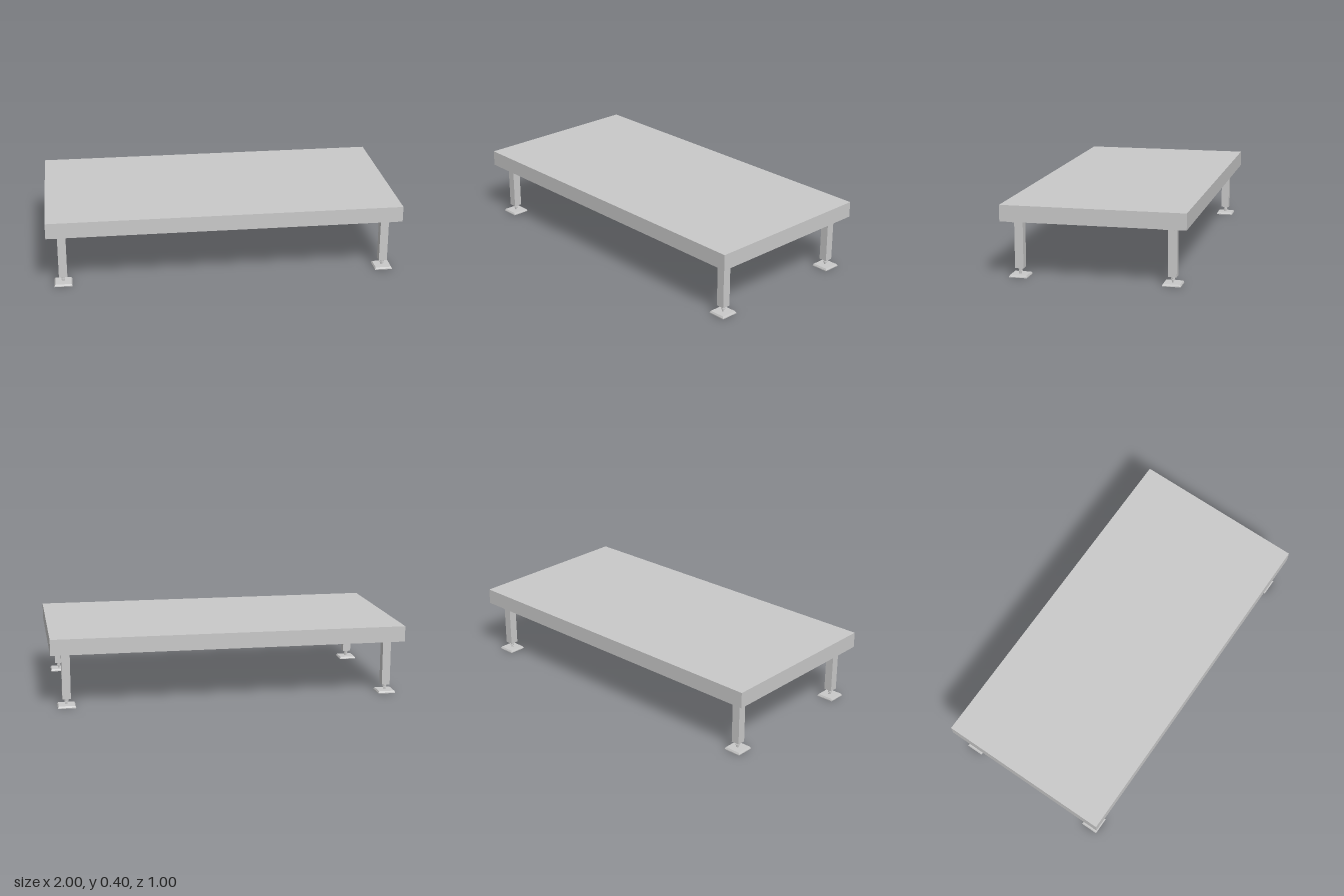
import * as THREE from 'three';

const metal = new THREE.MeshStandardMaterial({ color: 0xc9c9c9 });
metal.name = 'grey metal';

function add(parent, name, geometry, x = 0, y = 0, z = 0) {
  const mesh = new THREE.Mesh(geometry, metal);
  mesh.name = name;
  mesh.position.set(x, y, z);
  parent.add(mesh);
  return mesh;
}

// Rectangle with cut corners, centred on the origin
function cutRect(Path, w, d, c) {
  const path = new Path();
  const x = w / 2, y = d / 2;
  path.moveTo(-x + c, -y);
  path.lineTo(x - c, -y);
  path.lineTo(x, -y + c);
  path.lineTo(x, y - c);
  path.lineTo(x - c, y);
  path.lineTo(-x + c, y);
  path.lineTo(-x, y - c);
  path.lineTo(-x, -y + c);
  path.closePath();
  return path;
}

// Horizontal plate whose bottom lies at y = 0
function plate(shape, height) {
  const g = new THREE.ExtrudeGeometry(shape, { depth: height, bevelEnabled: false });
  return g.rotateX(-Math.PI / 2);
}

// Horizontal frame ring with cut inner corners
function ring(w, d, border, cut, height) {
  const shape = cutRect(THREE.Shape, w, d, 0);
  shape.holes.push(cutRect(THREE.Path, w - 2 * border, d - 2 * border, cut));
  return plate(shape, height);
}

// Square plate that narrows towards the top
function taperedPlate(bottom, top, height) {
  const g = new THREE.CylinderGeometry(top / Math.SQRT2, bottom / Math.SQRT2, height, 4);
  g.rotateY(Math.PI / 4);
  const flat = g.toNonIndexed();
  flat.computeVertexNormals();
  return flat;
}

function makeLeg() {
  const leg = new THREE.Group();
  leg.name = 'leg';
  add(leg, 'post', new THREE.BoxGeometry(0.047, 0.265, 0.047), 0, 0.1785, 0);
  // Levelling foot
  add(leg, 'footBase', new THREE.BoxGeometry(0.1, 0.004, 0.1), 0, 0.002, 0);
  add(leg, 'footPad', taperedPlate(0.1, 0.09, 0.009), 0, 0.0085, 0);
  add(leg, 'spindle', new THREE.CylinderGeometry(0.006, 0.006, 0.036, 16), 0, 0.03, 0);
  for (const y of [0.028, 0.038]) {
    add(leg, 'nut', new THREE.CylinderGeometry(0.012, 0.012, 0.005, 6), 0, y, 0);
  }
  // Mounting plates under the frame
  add(leg, 'clampPlate', new THREE.BoxGeometry(0.06, 0.014, 0.065), 0, 0.304, 0.0225);
  add(leg, 'clampTab', new THREE.BoxGeometry(0.064, 0.01, 0.021), 0, 0.306, -0.0205);
  return leg;
}

export function createModel() {
  const model = new THREE.Group();
  model.name = 'stagePlatform';

  // Deck, thin outer skirt and the flange turned in below it
  add(model, 'deck', new THREE.BoxGeometry(2, 0.025, 1), 0, 0.3875, 0);
  add(model, 'skirt', ring(2, 1, 0.02, 0, 0.044), 0, 0.331, 0);
  add(model, 'flange', ring(2, 1, 0.085, 0.045, 0.02), 0, 0.311, 0);

  // Cross beams resting on the flange
  for (const x of [-0.5, 0, 0.5]) {
    add(model, 'crossBeam', new THREE.BoxGeometry(0.06, 0.044, 0.96), x, 0.353, 0);
  }

  // Legs and the corner plates beside them
  for (const sx of [-1, 1]) {
    for (const sz of [-1, 1]) {
      const leg = makeLeg();
      leg.position.set(sx * 0.915, 0, sz * 0.415);
      model.add(leg);
      add(model, 'cornerPlate', plate(cutRect(THREE.Shape, 0.12, 0.12, 0.02), 0.008),
        sx * 0.845, 0.367, sz * 0.345);
    }
  }
  return model;
}
